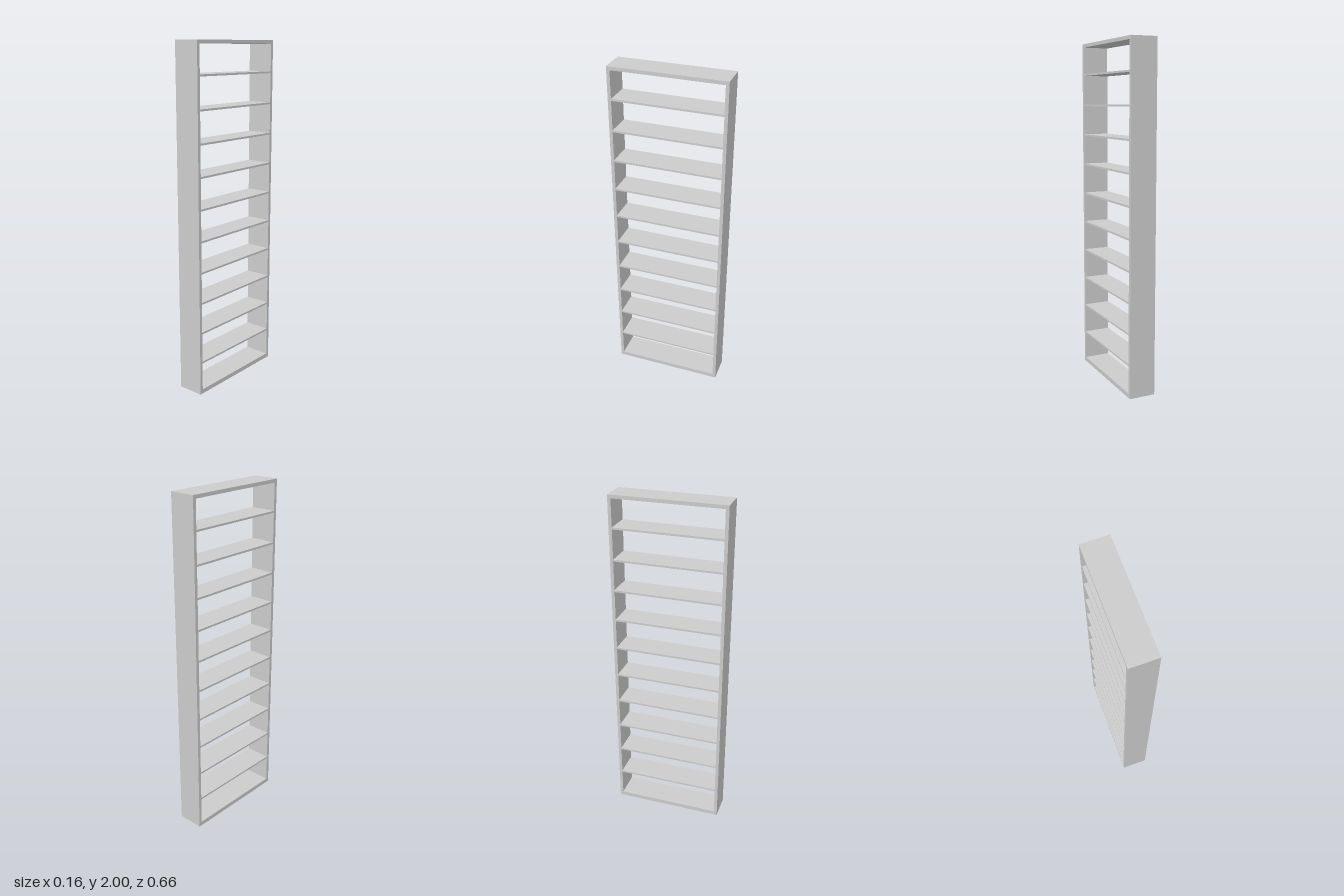
import * as THREE from 'three';

const WIDTH = 0.156, HEIGHT = 2, LENGTH = 0.658;
const SIDE = 0.019, TOP = 0.02, BASE = 0.026, SHELF = 0.011;
const SHELVES = 10, FIRST = 0.195, PITCH = 0.1804;

export function createModel() {
  const group = new THREE.Group();
  const material = new THREE.MeshStandardMaterial({ color: 0xcccccc });
  const inner = LENGTH - 2 * SIDE;

  // Every part is a board spanning the full width
  const board = (name, height, length, y, z = 0) => {
    const mesh = new THREE.Mesh(new THREE.BoxGeometry(WIDTH, height, length), material);
    mesh.name = name;
    mesh.position.set(0, y, z);
    group.add(mesh);
  };

  // Outer frame
  const z = (LENGTH - SIDE) / 2;
  board('frontUpright', HEIGHT, SIDE, HEIGHT / 2, z);
  board('backUpright', HEIGHT, SIDE, HEIGHT / 2, -z);
  board('topPanel', TOP, inner, HEIGHT - TOP / 2);
  board('basePanel', BASE, inner, BASE / 2);

  // Evenly spaced thin shelves
  for (let i = 0; i < SHELVES; i++) board(`shelf${i + 1}`, SHELF, inner, FIRST + i * PITCH);

  return group;
}
